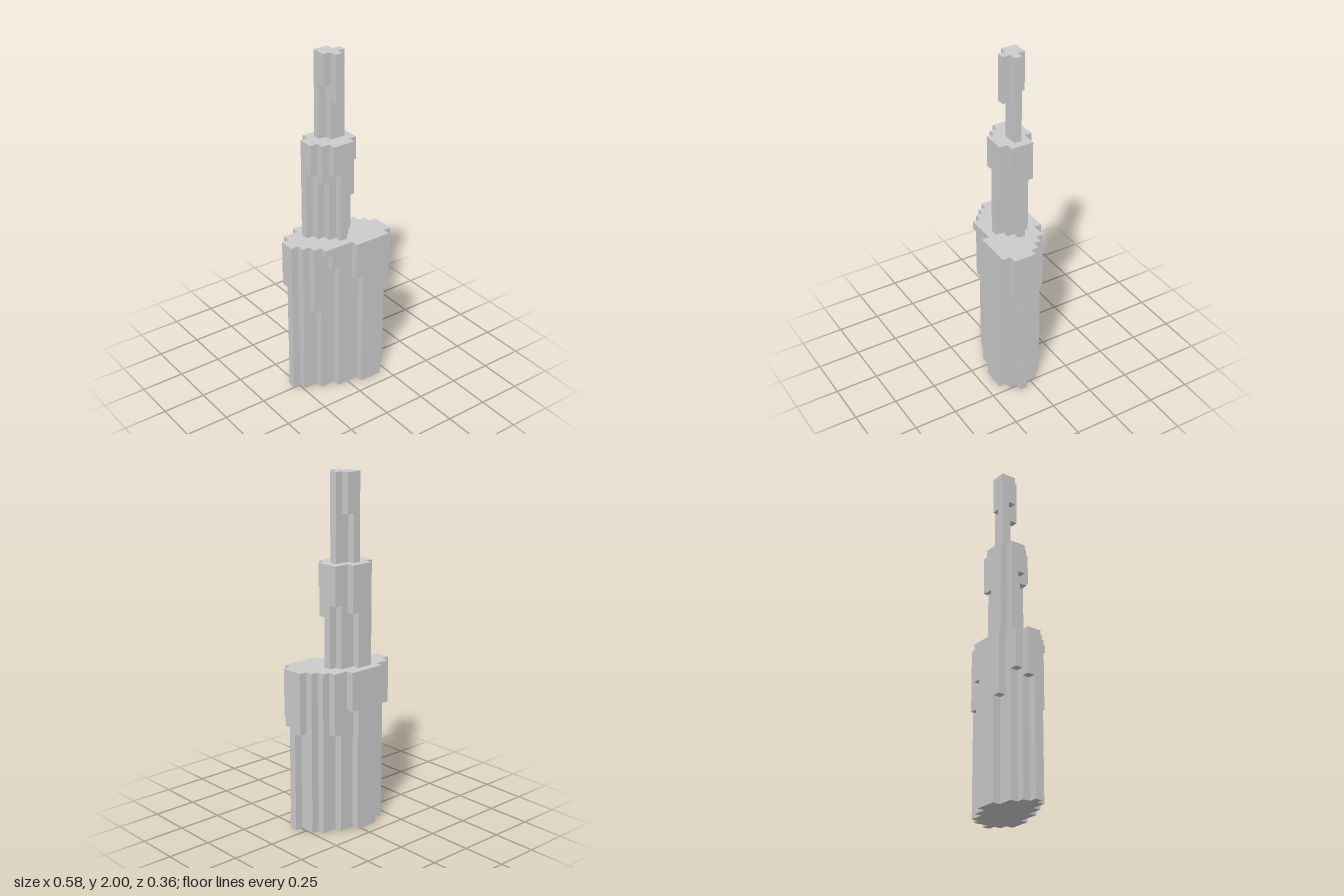
import * as THREE from 'three';
import { mergeGeometries } from 'three/addons/utils/BufferGeometryUtils.js';

// The tower sits on a grid of cubes: 13 across, 8 deep, 45 high.
const CELL = 2 / 45, COLUMNS = 13, ROWS = 8;

// rows: [depth row, first column, end column]
// ledges: [column, depth row, layer] for columns that start above their tier's foot
const tiers = [
  {
    name: 'baseTier', bottom: 0, top: 21,
    rows: [[0, 3, 8], [1, 1, 10], [2, 0, 11], [3, 0, 12], [4, 1, 13], [5, 2, 13], [6, 3, 13], [7, 7, 12]],
    ledges: [
      [2, 5, 12], [3, 6, 20], [4, 6, 18], [7, 7, 16], [11, 7, 13], [12, 6, 15], // front
      [12, 4, 13], [9, 1, 13], [7, 0, 16], [3, 0, 13], [1, 1, 16], [0, 2, 15],  // back
    ],
  },
  {
    name: 'middleTier', bottom: 21, top: 34,
    rows: [[1, 4, 7], [2, 3, 9], [3, 3, 9], [4, 4, 9], [5, 5, 8]],
    ledges: [
      [3, 3, 30], [4, 4, 29], [5, 5, 30], [7, 5, 27], [8, 4, 31],
      [8, 2, 29], [6, 1, 28],
    ],
  },
  {
    name: 'spire', bottom: 34, top: 45,
    rows: [[2, 5, 7], [3, 5, 8], [4, 6, 7]],
    ledges: [[5, 3, 41], [6, 4, 39], [6, 2, 40]],
  },
];

// Box covering columns i0..i1 of one depth row, from layer y0 to y1
function block(i0, i1, row, y0, y1) {
  return new THREE.BoxGeometry((i1 - i0) * CELL, (y1 - y0) * CELL, CELL).translate(
    ((i0 + i1 - COLUMNS) / 2) * CELL,
    ((y0 + y1) / 2) * CELL,
    (row + 0.5 - ROWS / 2) * CELL
  );
}

function buildTier({ name, bottom, top, rows, ledges }, material) {
  const startOf = (i, row) => ledges.find(l => l[0] === i && l[1] === row)?.[2] ?? bottom;
  const parts = [];
  for (const [row, first, end] of rows) {
    // Join neighbouring columns that start on the same layer
    let from = first;
    for (let i = first + 1; i <= end; i++) {
      if (i < end && startOf(i, row) === startOf(from, row)) continue;
      parts.push(block(from, i, row, startOf(from, row), top));
      from = i;
    }
  }
  const mesh = new THREE.Mesh(mergeGeometries(parts), material);
  mesh.name = name;
  return mesh;
}

export function createModel() {
  const group = new THREE.Group();
  group.name = 'steppedTower';
  const material = new THREE.MeshStandardMaterial({ color: 0xcccccc, flatShading: true });
  for (const tier of tiers) group.add(buildTier(tier, material));
  return group;
}
